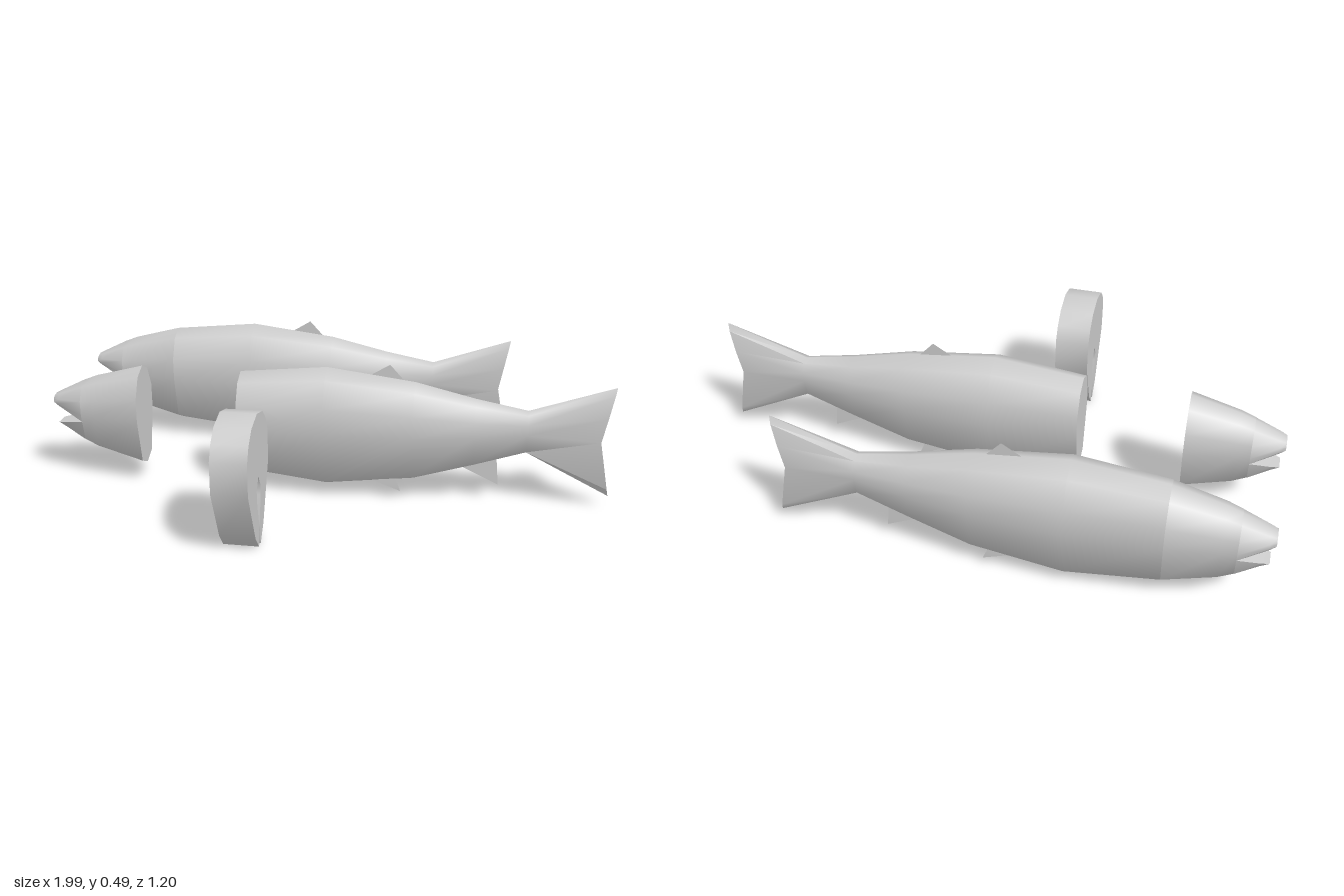
import * as THREE from 'three';
import { toCreasedNormals } from 'three/addons/utils/BufferGeometryUtils.js';

const flesh = new THREE.MeshStandardMaterial({ color: 0xcccccc, side: THREE.DoubleSide });
flesh.name = 'plain grey';

// Half cross-sections from top to bottom: [width factor, height factor]
const BODY = [[0, 1], [0.6, 0.93], [1, 0.73], [1, 0.51], [0.6, 0.07], [0, 0]];
const UPPER_JAW = [[0, 1], [0.6, 0.88], [1, 0.55], [1, 0.2], [0.9, 0]];
const LOWER_JAW = [[0.9, 1], [0.6, 0.17], [0, 0]];

// Stations along the fish: [x, bottom, top, half width, fork depth]
const HEAD = [[-0.89, 0.135, 0.368, 0.064], [-0.84, 0.11, 0.388, 0.073], [-0.67, 0.06, 0.433, 0.093]];
const TRUNK = [
  [-0.67, 0.06, 0.433, 0.093], [-0.36, 0.025, 0.465, 0.11], [-0.05, 0.065, 0.427, 0.093],
  [0.16, 0.13, 0.378, 0.065], [0.34, 0.19, 0.345, 0.042], [0.63, 0.045, 0.445, 0.018, 0.04],
];
const UPPER = [[-1, 0.285, 0.312, 0.035], [-0.98, 0.276, 0.323, 0.046], [-0.89, 0.225, 0.368, 0.064]];
const LOWER = [[-0.99, 0.2, 0.207, 0.03], [-0.96, 0.183, 0.212, 0.042], [-0.89, 0.135, 0.225, 0.064]];

function mesh(geometry, name) {
  const m = new THREE.Mesh(geometry, flesh);
  m.name = name;
  return m;
}

// Skin a row of stations and close both ends
function loft(half, stations, name) {
  const ring = [...half, ...half.filter(p => p[0] > 0).reverse().map(([w, t]) => [-w, t])];
  const n = ring.length, last = stations.length - 1;
  const pos = [], idx = [];
  for (const [x, y0, y1, hw, fork = 0] of stations) {
    for (const [w, t] of ring) {
      pos.push(x - fork * (1 - Math.abs(2 * t - 1)), y0 + (y1 - y0) * t, w * hw);
    }
  }
  for (let i = 0; i < last; i++) {
    for (let j = 0; j < n; j++) {
      const a = i * n + j, b = i * n + (j + 1) % n;
      idx.push(a, b, a + n, b, b + n, a + n);
    }
  }
  for (const end of [0, last]) {
    const [x, y0, y1, , fork = 0] = stations[end];
    const c = pos.length / 3;
    pos.push(x - fork, (y0 + y1) / 2, 0);
    for (let j = 0; j < n; j++) {
      const a = end * n + j, b = end * n + (j + 1) % n;
      if (end) idx.push(c, a, b);
      else idx.push(c, b, a);
    }
  }
  const g = new THREE.BufferGeometry();
  g.setAttribute('position', new THREE.Float32BufferAttribute(pos, 3));
  g.setIndex(idx);
  return mesh(toCreasedNormals(g, 1.05), name);
}

// Thin fin in the x-y plane
function fin(points, z, name) {
  const shape = new THREE.Shape(points.map(p => new THREE.Vector2(...p)));
  const m = mesh(new THREE.ShapeGeometry(shape), name);
  m.position.z = z;
  return m;
}

function makeHead() {
  const g = new THREE.Group();
  g.name = 'head';
  g.add(loft(BODY, HEAD, 'skull'), loft(UPPER_JAW, UPPER, 'upperJaw'), loft(LOWER_JAW, LOWER, 'lowerJaw'));
  return g;
}

function makeTrunk() {
  const g = new THREE.Group();
  g.name = 'trunkAndTail';
  g.add(loft(BODY, TRUNK, 'trunk'));
  g.add(fin([[-0.23, 0.43], [-0.14, 0.485], [-0.09, 0.43]], 0, 'dorsalFin'));
  g.add(fin([[0.1, 0.13], [0.25, 0.06], [0.24, 0.17]], 0, 'analFin'));
  for (const side of [1, -1]) {
    g.add(fin([[-0.2, 0.07], [-0.09, 0.03], [-0.11, 0.08]], side * 0.045, side > 0 ? 'leftPelvicFin' : 'rightPelvicFin'));
  }
  return g;
}

// Cross-cut slice with an open belly cavity
function makeSteak() {
  const half = [[0.08, 0.44], [0.125, 0.4], [0.15, 0.35], [0.15, 0.24], [0.06, 0.052], [0.013, 0],
    [0.005, 0.015], [0.005, 0.08], [0.028, 0.17], [0.028, 0.205]];
  const outline = [[0, 0.46], ...half, [0, 0.245], ...half.slice().reverse().map(([z, y]) => [-z, y])];
  const shape = new THREE.Shape(outline.map(p => new THREE.Vector2(...p)));
  const g = new THREE.ExtrudeGeometry(shape, { depth: 0.12, bevelEnabled: false });
  g.rotateY(-Math.PI / 2);
  const m = mesh(toCreasedNormals(g, 0.7), 'steak');
  m.position.set(-0.145, 0, 0.45);
  return m;
}

export function createModel() {
  const model = new THREE.Group();
  model.name = 'fishAndSteak';

  const whole = new THREE.Group();
  whole.name = 'wholeFish';
  whole.add(makeHead(), makeTrunk());
  whole.position.z = -0.49;

  // Second fish, with the trunk pulled away from the head
  const cut = new THREE.Group();
  cut.name = 'cutFish';
  const trunk = makeTrunk();
  trunk.position.x = 0.362;
  cut.add(makeHead(), trunk);
  cut.position.z = -0.02;

  model.add(whole, cut, makeSteak());
  return model;
}
